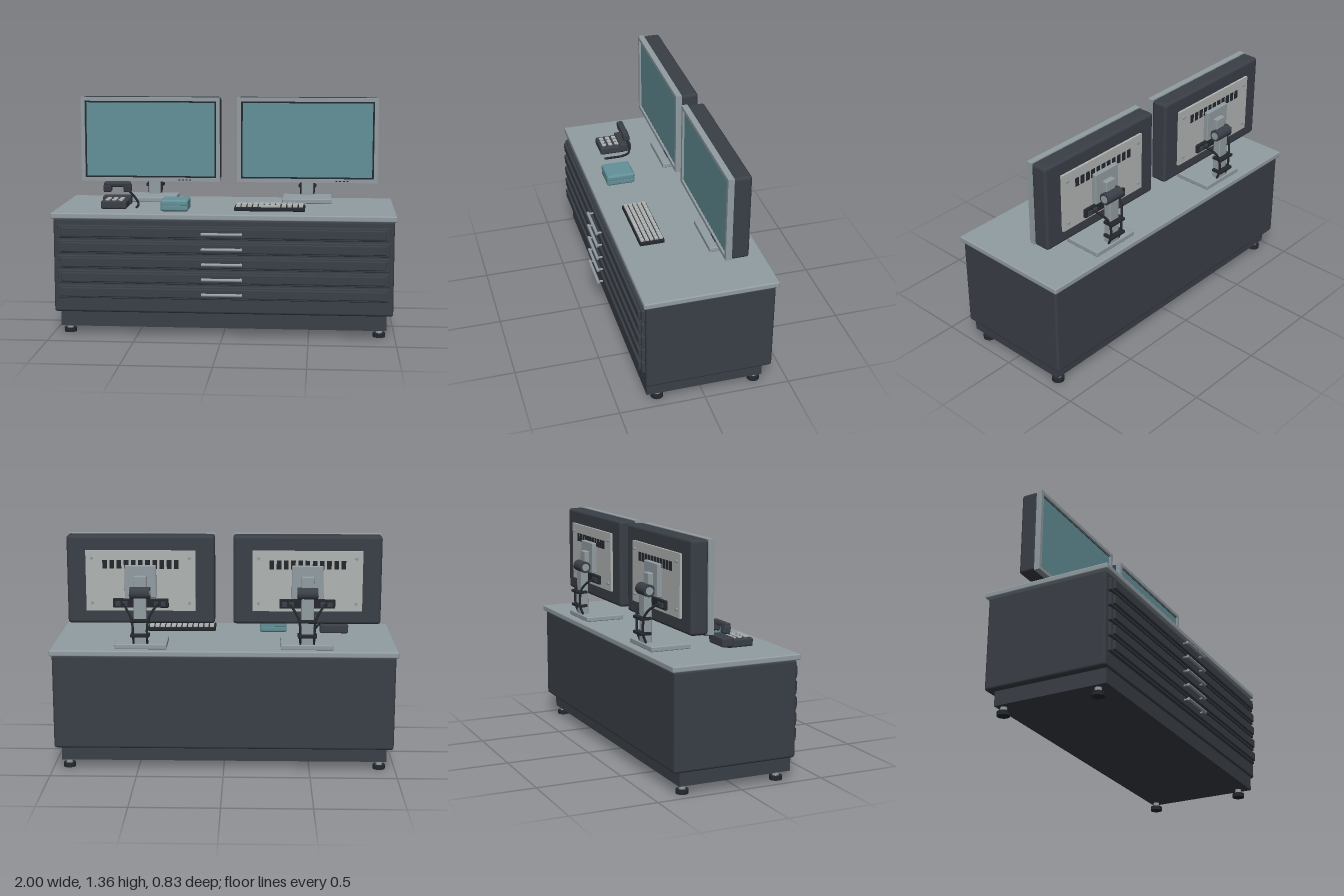
import * as THREE from 'three';
import { RoundedBoxGeometry } from 'three/addons/geometries/RoundedBoxGeometry.js';

const material = (name, color) => new THREE.MeshStandardMaterial({ name, color });

export function createModel() {
  const dark = material('charcoal', 0x3a3f47);
  const black = material('black', 0x24282d);
  const steel = material('steel grey', 0x929da2);
  const light = material('light grey', 0xb0b4b2);
  const teal = material('teal', 0x649199);

  const model = new THREE.Group();
  model.name = 'workstation';

  const group = (parent, name, x = 0, y = 0, z = 0) => {
    const g = new THREE.Group();
    g.name = name;
    g.position.set(x, y, z);
    parent.add(g);
    return g;
  };
  const add = (parent, name, geometry, mat, x = 0, y = 0, z = 0) => {
    const mesh = new THREE.Mesh(geometry, mat);
    mesh.name = name;
    mesh.position.set(x, y, z);
    parent.add(mesh);
    return mesh;
  };
  // Box given by its x, y and z limits; r rounds the edges
  const box = (parent, name, mat, [x0, x1], [y0, y1], [z0, z1], r = 0) => {
    const size = [x1 - x0, y1 - y0, z1 - z0];
    const geometry = r ? new RoundedBoxGeometry(...size, 2, r) : new THREE.BoxGeometry(...size);
    return add(parent, name, geometry, mat, (x0 + x1) / 2, (y0 + y1) / 2, (z0 + z1) / 2);
  };
  const cylinder = (parent, name, mat, r, length, x, y, z, axis = 'y') => {
    const geometry = new THREE.CylinderGeometry(r, r, length, 20);
    if (axis === 'x') geometry.rotateZ(Math.PI / 2);
    if (axis === 'z') geometry.rotateX(Math.PI / 2);
    return add(parent, name, geometry, mat, x, y, z);
  };
  const tube = (parent, name, mat, r, points) => {
    const curve = new THREE.CatmullRomCurve3(points.map(p => new THREE.Vector3(...p)));
    return add(parent, name, new THREE.TubeGeometry(curve, 24, r, 8), mat);
  };

  // Cabinet
  const cabinet = group(model, 'cabinet');
  box(cabinet, 'worktop', steel, [-1, 1], [0.687, 0.722], [-0.413, 0.354], 0.008);
  box(cabinet, 'cabinetBody', dark, [-0.987, 0.987], [0.135, 0.69], [-0.398, 0.34], 0.015);
  box(cabinet, 'plinth', dark, [-0.95, 0.95], [0.05, 0.14], [-0.352, 0.33]);
  for (const x of [-0.91, 0.91]) for (const z of [-0.316, 0.26]) {
    const foot = group(cabinet, 'foot', x, 0, z);
    cylinder(foot, 'footPad', black, 0.036, 0.024, 0, 0.012, 0);
    cylinder(foot, 'footStem', steel, 0.019, 0.035, 0, 0.04, 0);
  }

  // Drawers with bar handles
  for (let i = 0; i < 5; i++) {
    const drawer = group(cabinet, 'drawer', 0, 0.614 - i * 0.0885, 0);
    box(drawer, 'drawerPlate', dark, [-0.96, 0.96], [-0.038, 0.038], [0.33, 0.358], 0.006);
    box(drawer, 'drawerPanel', dark, [-0.94, 0.94], [-0.027, 0.027], [0.35, 0.373], 0.006);
    for (const x of [-0.108, 0.108])
      cylinder(drawer, 'handlePost', steel, 0.006, 0.036, x, 0, 0.385, 'z');
    cylinder(drawer, 'handleBar', steel, 0.009, 0.236, 0, 0, 0.403, 'x');
  }

  // Monitors
  const rect = (s, x, y) => s.moveTo(-x, -y).lineTo(x, -y).lineTo(x, y).lineTo(-x, y).closePath();
  const frameShape = rect(new THREE.Shape(), 0.425, 0.256);
  frameShape.holes.push(rect(new THREE.Path(), 0.402, 0.234));
  const frameGeometry = new THREE.ExtrudeGeometry(frameShape, { depth: 0.035, bevelEnabled: false });

  for (const x of [-0.478, 0.478]) {
    const monitor = group(model, 'monitor', x, 0, 0);
    add(monitor, 'bezel', frameGeometry, steel, 0, 1.107, -0.163);
    box(monitor, 'screenSurround', black, [-0.403, 0.403], [0.872, 1.342], [-0.162, -0.141]);
    box(monitor, 'screen', teal, [-0.392, 0.392], [0.883, 1.331], [-0.142, -0.137]);
    box(monitor, 'backShell', dark, [-0.425, 0.425], [0.851, 1.363], [-0.263, -0.16], 0.018);
    for (let i = 0; i < 4; i++)
      box(monitor, 'button', black, [0.172 + i * 0.022, 0.184 + i * 0.022],
        [0.857, 0.865], [-0.13, -0.125]);

    // Rear panel, vents, screws and ports
    box(monitor, 'rearPanel', light, [-0.315, 0.315], [0.93, 1.28], [-0.277, -0.255]);
    for (let i = 0; i < 11; i++) {
      const vx = (i - 5) * 0.041;
      box(monitor, 'vent', black, [vx - 0.013, vx + 0.013], [1.175, 1.225], [-0.281, -0.275]);
    }
    for (const sx of [-0.28, 0.28]) for (const y of [0.975, 1.235])
      cylinder(monitor, 'screw', steel, 0.009, 0.012, sx, y, -0.28, 'z');
    box(monitor, 'portStrip', black, [-0.16, 0.16], [0.95, 1.002], [-0.294, -0.27], 0.004);
    for (const px of [-0.13, -0.09, 0.09, 0.13])
      box(monitor, 'port', dark, [px - 0.014, px + 0.014], [0.962, 0.988], [-0.302, -0.29]);

    // Stand
    const stand = group(monitor, 'stand');
    box(stand, 'mountPlate', steel, [-0.09, 0.09], [1.01, 1.197], [-0.306, -0.272], 0.005);
    box(stand, 'mountArm', steel, [-0.036, 0.036], [1.03, 1.14], [-0.334, -0.3], 0.005);
    cylinder(stand, 'hinge', dark, 0.035, 0.116, 0, 1.045, -0.338, 'x');
    for (const sx of [-0.059, 0.059])
      cylinder(stand, 'hingeCap', steel, 0.022, 0.006, sx, 1.045, -0.338, 'x');
    box(stand, 'column', steel, [-0.036, 0.036], [0.74, 1.04], [-0.36, -0.312], 0.006);
    box(stand, 'standBase', steel, [-0.15, 0.15], [0.721, 0.751], [-0.367, -0.128], 0.006);

    // Cables held by two clips
    for (const y of [0.805, 0.89]) {
      box(stand, 'cableClip', black, [-0.055, 0.055], [y - 0.008, y + 0.008], [-0.39, -0.355], 0.003);
      for (const s of [-1, 1])
        box(stand, 'clipArm', black, [s * 0.046 - 0.008, s * 0.046 + 0.008],
          [y - 0.008, y + 0.008], [-0.37, -0.325]);
    }
    for (const s of [-1, 1])
      tube(stand, 'cable', black, 0.007, [[s * 0.1, 0.975, -0.295], [s * 0.085, 0.96, -0.33],
        [s * 0.055, 0.915, -0.362], [s * 0.042, 0.86, -0.37], [s * 0.04, 0.8, -0.368], [s * 0.038, 0.752, -0.35]]);
  }

  // Telephone
  const phone = group(model, 'telephone', -0.653, 0.722, 0);
  box(phone, 'phoneBase', dark, [-0.077, 0.077], [0.004, 0.052], [0.05, 0.208], 0.01);
  box(phone, 'phoneCradle', dark, [-0.085, 0.085], [0.012, 0.066], [0.012, 0.085], 0.01);
  for (let c = -1; c <= 1; c++) for (let r = 0; r < 3; r++)
    box(phone, 'phoneKey', light, [c * 0.039 - 0.012, c * 0.039 + 0.012], [0.05, 0.059],
      [0.087 + r * 0.04, 0.111 + r * 0.04]);
  const handset = group(phone, 'handset', 0, 0.118, 0.044);
  handset.rotation.x = 0.2;
  box(handset, 'handsetGrip', dark, [-0.08, 0.08], [0, 0.03], [-0.019, 0.019], 0.01);
  for (const s of [-1, 1])
    box(handset, 'handsetEnd', dark, [s * 0.06 - 0.025, s * 0.06 + 0.025], [-0.032, 0.014], [-0.021, 0.021], 0.009);
  tube(phone, 'phoneCord', black, 0.007, [[0.07, 0.088, 0.04], [0.095, 0.06, 0.032],
    [0.122, 0.024, 0.04], [0.128, 0.01, 0.08], [0.128, 0.008, 0.14], [0.128, 0.008, 0.2]]);

  // Small rounded box
  const caddy = group(model, 'storageBox');
  box(caddy, 'storageBoxBody', teal, [-0.37, -0.208], [0.722, 0.765], [0.084, 0.256], 0.014);
  box(caddy, 'storageBoxLid', teal, [-0.37, -0.208], [0.75, 0.79], [0.084, 0.256], 0.014);

  // Keyboard
  const keyboard = group(model, 'keyboard', 0.266, 0.722, 0.162);
  box(keyboard, 'keyboardCase', black, [-0.206, 0.206], [0.004, 0.028], [-0.073, 0.073], 0.006);
  const key = (x, z, w) =>
    box(keyboard, 'key', light, [x - w / 2, x + w / 2], [0.024, 0.038], [z - 0.01, z + 0.01]);
  for (let r = 0; r < 5; r++) for (let c = 0; c < 12; c++) {
    if (r === 4 && c > 3 && c < 8) continue;
    key((c - 5.5) * 0.0332, (r - 2) * 0.0275, 0.025);
  }
  key(0, 0.055, 0.125);

  return model;
}
